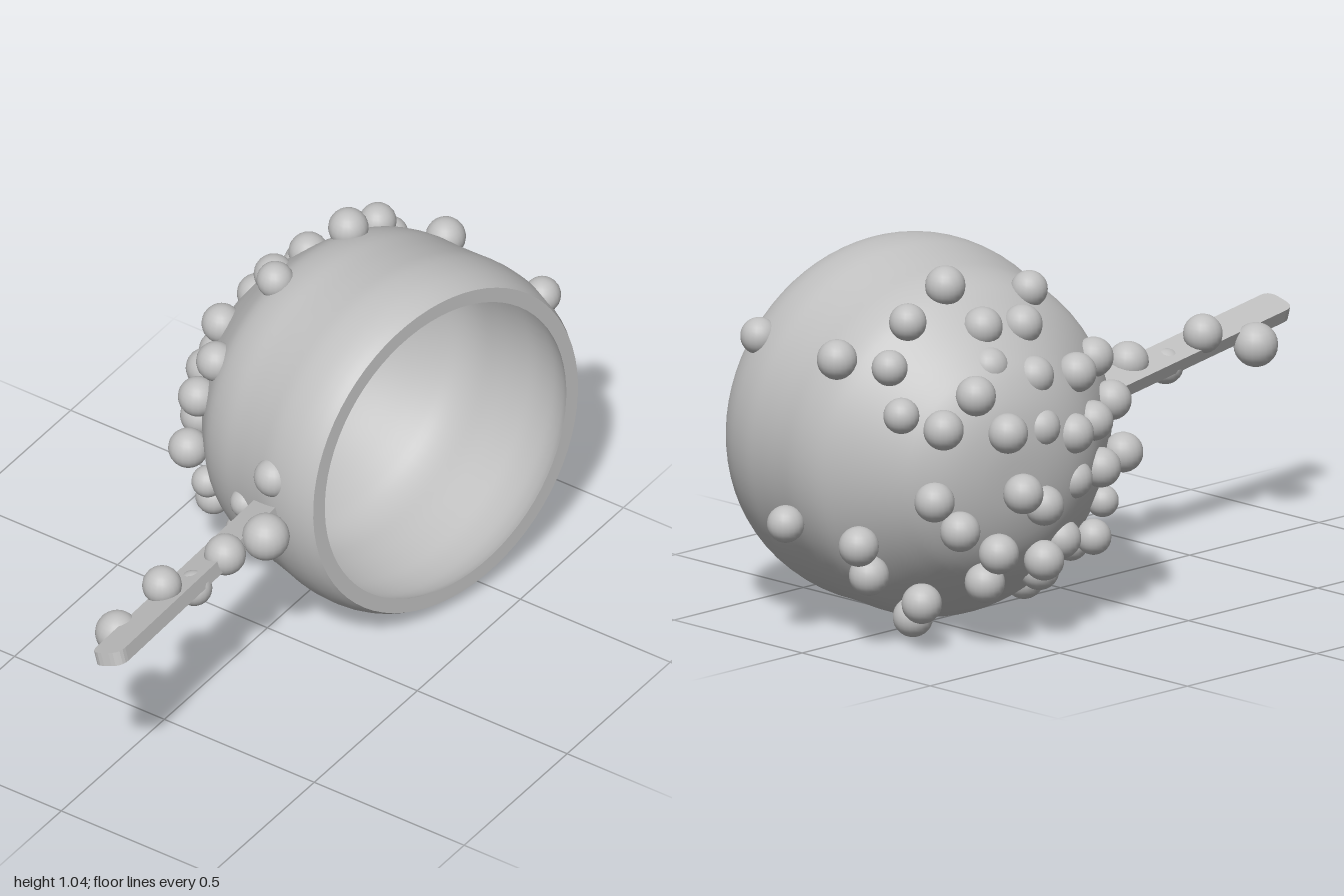
import * as THREE from 'three';

const V2 = (p) => new THREE.Vector2(p[0], p[1]);

export function createModel() {
  const group = new THREE.Group();
  const metal = new THREE.MeshStandardMaterial({ color: 0xc0c0c0 });
  metal.name = 'plain grey';
  const add = (geo, name, parent = group) => {
    const mesh = new THREE.Mesh(geo, metal);
    mesh.name = name;
    parent.add(mesh);
    return mesh;
  };

  // Pot: lathed bowl lying on its side, the mouth facing +x and slightly up and forward
  const pot = new THREE.Group();
  pot.name = 'pot';
  const axis = new THREE.Vector3(0.97, 0.07, 0.235).normalize();
  pot.quaternion.setFromUnitVectors(new THREE.Vector3(0, 1, 0), axis);
  pot.position.set(0.34, 0.53, -0.37);
  group.add(pot);

  const lathe = (pts, name, smooth) => {
    const v = pts.map(V2);
    const profile = smooth ? new THREE.SplineCurve(v).getPoints(48) : v;
    profile.forEach((p) => { p.x = Math.max(p.x, 0); });
    return add(new THREE.LatheGeometry(profile, 72), name, pot);
  };
  // radius, height along the axis (rim at 0)
  lathe([[0, -0.75], [0.1, -0.745], [0.2, -0.722], [0.28, -0.68], [0.335, -0.63], [0.385, -0.575],
    [0.435, -0.515], [0.475, -0.455], [0.496, -0.38], [0.503, -0.3], [0.512, -0.22], [0.52, -0.15],
    [0.516, -0.08], [0.503, -0.03], [0.488, 0]], 'outerWall', true);
  lathe([[0.488, 0], [0.445, 0]], 'rim', false);
  lathe([[0.445, 0], [0.46, -0.03], [0.474, -0.08], [0.478, -0.15], [0.471, -0.22], [0.462, -0.3],
    [0.455, -0.38], [0.436, -0.44], [0.4, -0.49], [0.352, -0.545], [0.3, -0.6], [0.25, -0.645],
    [0.18, -0.685], [0.1, -0.705], [0, -0.71]], 'innerWall', true);

  // Handle: flat bar with rounded end, rolled a little about its length
  const root = new THREE.Vector3(0.05, 0.483, 0.0);
  const end = new THREE.Vector3(0.15, 0.592, 1.0);
  const along = end.clone().sub(root);
  const length = along.length();
  along.normalize();
  const roll = 0.32;
  const up = new THREE.Vector3(-Math.sin(roll), Math.cos(roll), 0);
  const side = new THREE.Vector3().crossVectors(along, up).normalize();
  up.crossVectors(side, along);
  const w = 0.047, c = 0.035, t = 0.04;
  const bar = new THREE.Shape();
  bar.moveTo(-w, 0);
  bar.lineTo(w, 0);
  bar.lineTo(w, length - c);
  bar.quadraticCurveTo(w, length, w - c, length);
  bar.lineTo(c - w, length);
  bar.quadraticCurveTo(-w, length, -w, length - c);
  bar.closePath();
  const barGeo = new THREE.ExtrudeGeometry(bar, { depth: t, bevelEnabled: false, curveSegments: 5 });
  barGeo.translate(0, 0, -t / 2);
  const handle = add(barGeo, 'handle');
  handle.quaternion.setFromRotationMatrix(new THREE.Matrix4().makeBasis(side, along, up));
  handle.position.copy(root);

  // Beads: x, y, z and an optional radius
  const ball = new THREE.SphereGeometry(1, 20, 14);
  const beads = (list, name) => list.forEach(([x, y, z, r = 0.056]) => {
    const m = add(ball, name);
    m.position.set(x, y, z);
    m.scale.setScalar(r);
  });
  beads([
    // top of the pot
    [-0.115, 0.985, -0.56], [-0.18, 0.94, -0.3, 0.052], [-0.12, 0.91, -0.71, 0.052], [0, 0.81, -0.865],
    [-0.22, 0.88, -0.52], [-0.25, 0.87, -0.395], [-0.14, 0.8, -0.8, 0.05], [-0.206, 0.68, -0.82, 0.05],
    // upper back
    [-0.27, 0.78, -0.545], [-0.33, 0.745, -0.43], [-0.32, 0.725, -0.645], [-0.26, 0.73, -0.13],
    [-0.345, 0.73, -0.28], [-0.29, 0.64, -0.74], [-0.385, 0.62, -0.585], [-0.37, 0.61, -0.445],
    [-0.37, 0.59, -0.24], [-0.395, 0.577, -0.34], [-0.3, 0.61, -0.1],
    // lower back
    [-0.42, 0.45, -0.56], [-0.305, 0.455, -0.06], [-0.365, 0.45, -0.205], [-0.37, 0.44, -0.32],
    [-0.4, 0.395, -0.46], [-0.285, 0.44, -0.77], [-0.345, 0.36, -0.73], [-0.375, 0.28, -0.61],
    [-0.375, 0.23, -0.435], [-0.34, 0.267, -0.335], [-0.275, 0.32, -0.11, 0.045], [-0.29, 0.23, -0.16, 0.05],
    // underside and far side
    [-0.31, 0.185, -0.6], [-0.25, 0.16, -0.33], [-0.215, 0.135, -0.75], [-0.17, 0.185, -0.13, 0.05],
    [-0.1, 0.09, -0.24], [-0.11, 0.065, -0.68], [-0.1, 0.21, -0.84], [-0.1, 0.3, -0.88],
    [0.12, 0.335, -0.945, 0.052],
    // near the rim and handle root
    [0.36, 0.8, -0.81, 0.052], [-0.05, 0.435, 0.03, 0.045], [0.07, 0.6, 0.07],
  ], 'potBead');
  beads([
    [0.16, 0.54, 0.24, 0.066], [0.12, 0.55, 0.38, 0.058], [0.11, 0.515, 0.515, 0.05],
    [0.085, 0.59, 0.635, 0.055], [0.06, 0.53, 0.815, 0.062],
  ], 'handleBead');

  return group;
}
